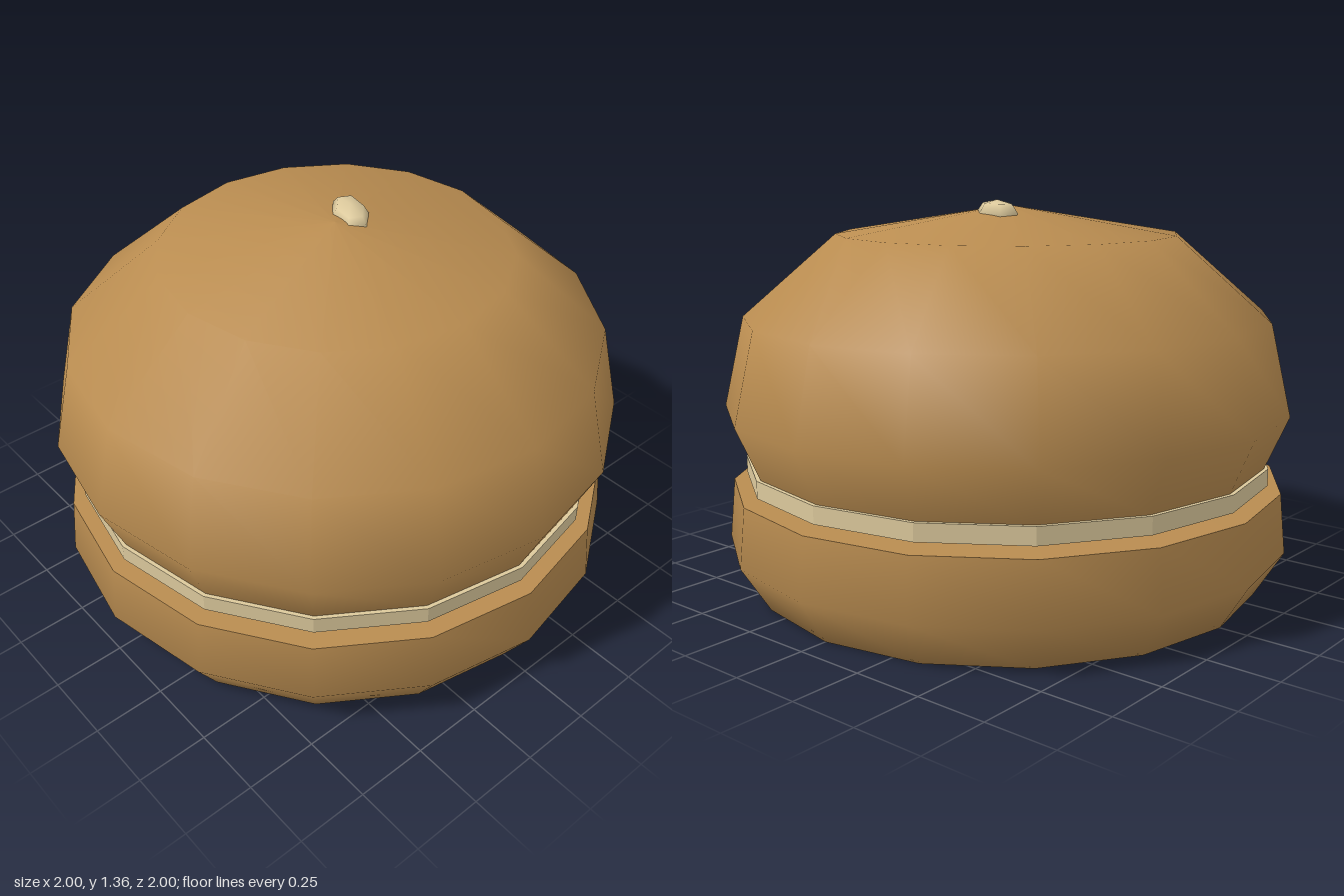
import * as THREE from 'three';

const SIDES = 16;

export function createModel() {
  const group = new THREE.Group();

  const bun = new THREE.MeshStandardMaterial({ color: 0xb98c50 });
  bun.name = 'toasted bun';
  const cream = new THREE.MeshStandardMaterial({ color: 0xdcc99c });
  cream.name = 'pale cream';
  const creamFlat = cream.clone();
  creamFlat.flatShading = true;

  const add = (name, geometry, material) => {
    const mesh = new THREE.Mesh(geometry, material);
    mesh.name = name;
    group.add(mesh);
    return mesh;
  };
  // Profile points run from bottom to top as [radius, height]
  const lathe = (points) =>
    new THREE.LatheGeometry(points.map(([r, y]) => new THREE.Vector2(r, y)), SIDES);

  // Bottom bun: smooth body, with a separate lid for a crisp upper rim
  add('bottomBun', lathe([[0, 0], [0.9, 0], [1, 0.16], [0.98, 0.37]]), bun);
  add('bottomBunTop', lathe([[0.98, 0.37], [0, 0.393]]), bun);

  // Filling disc with faceted edge
  const filling = add('filling', new THREE.CylinderGeometry(0.934, 0.934, 0.06, SIDES), creamFlat);
  filling.position.y = 0.425;

  // Domed top bun, resting on the filling
  add('topBun', lathe([[0.92, 0.455], [1, 0.64], [0.928, 0.955], [0.6, 1.24], [0, 1.337]]), bun);

  // Single seed half sunk into the crown
  const seed = add('seed', new THREE.SphereGeometry(1, 6, 4), cream);
  seed.scale.set(0.065, 0.044, 0.121);
  seed.rotation.y = 1.1;
  seed.position.set(-0.032, 1.315, -0.093);

  return group;
}
